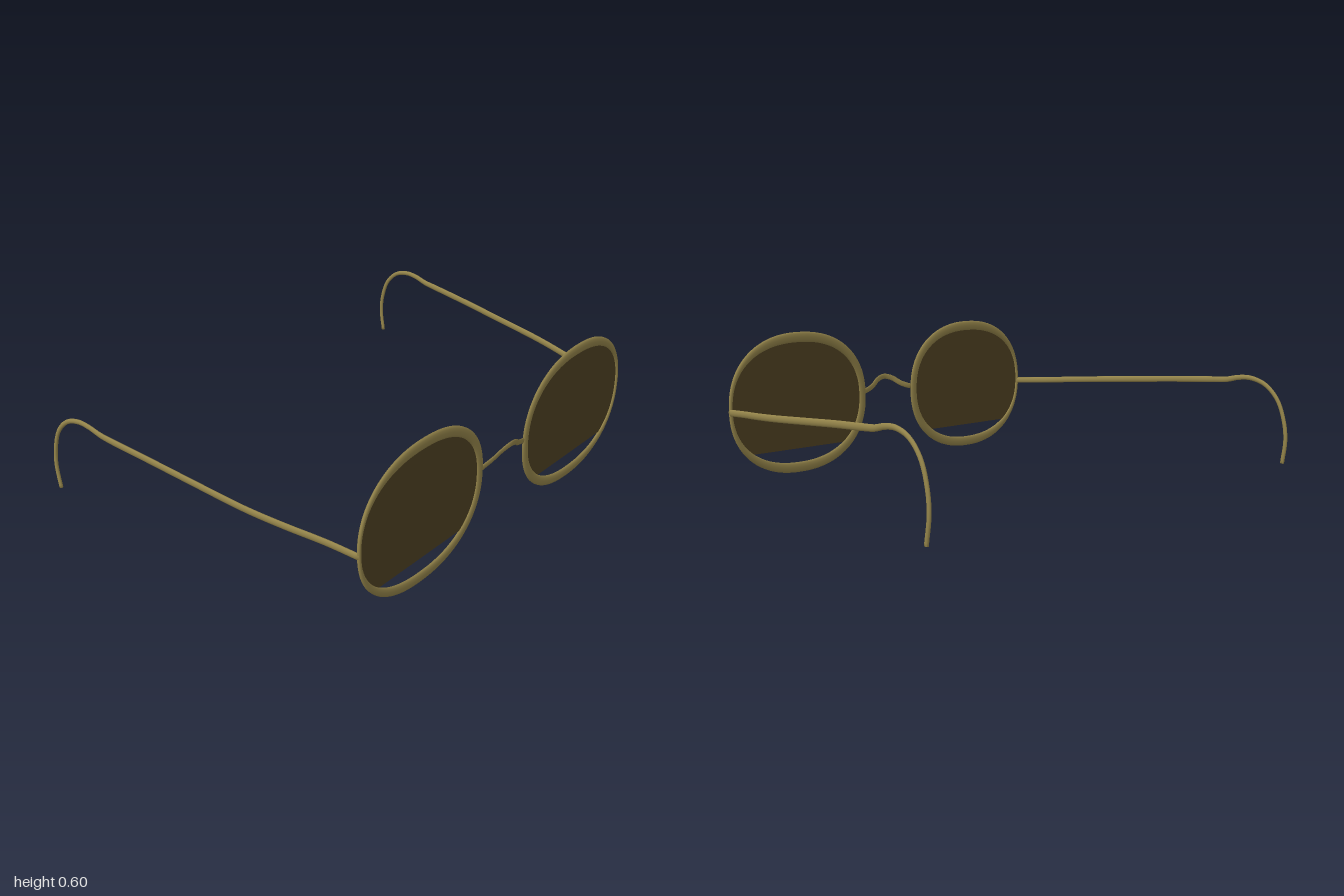
import * as THREE from 'three';

const frameMat = new THREE.MeshStandardMaterial({ color: 0x94844a });
frameMat.name = 'aged brass';
const lensMat = new THREE.MeshStandardMaterial({ color: 0x4f4122, side: THREE.DoubleSide });
lensMat.name = 'dark brown lens';

const V = (x, y, z) => new THREE.Vector3(x, y, z);

// Sweep an elliptical section along a curve; depth lies along the given axis, width across it
function sweep(points, closed, axis, depth, width, steps, sides = 10) {
  const curve = new THREE.CatmullRomCurve3(points, closed);
  const rings = closed ? steps : steps + 1;
  const pos = [], idx = [];
  for (let i = 0; i < rings; i++) {
    const t = i / steps;
    const p = curve.getPoint(t), T = curve.getTangent(t);
    const S = axis.clone().addScaledVector(T, -axis.dot(T)).normalize();
    const U = T.clone().cross(S);
    for (let j = 0; j < sides; j++) {
      const a = (j / sides) * Math.PI * 2;
      const q = p.clone().addScaledVector(S, depth * Math.cos(a)).addScaledVector(U, width(t) * Math.sin(a));
      pos.push(q.x, q.y, q.z);
    }
  }
  for (let i = 0; i < steps; i++) {
    const r0 = i * sides, r1 = ((i + 1) % rings) * sides;
    for (let j = 0; j < sides; j++) {
      const k = (j + 1) % sides;
      idx.push(r0 + j, r0 + k, r1 + j, r0 + k, r1 + k, r1 + j);
    }
  }
  if (!closed) {
    const end = steps * sides;
    for (let j = 1; j < sides - 1; j++) idx.push(0, j + 1, j, end, end + j, end + j + 1);
  }
  const geo = new THREE.BufferGeometry();
  geo.setAttribute('position', new THREE.Float32BufferAttribute(pos, 3));
  geo.setIndex(idx);
  geo.computeVertexNormals();
  return geo;
}

// Slightly squared oval, as points around (cx, cy)
function oval(cx, cy, rx, ry, n) {
  const e = 2 / 2.25;
  return Array.from({ length: n }, (_, i) => {
    const a = (i / n) * Math.PI * 2, c = Math.cos(a), s = Math.sin(a);
    return V(cx + rx * Math.sign(c) * Math.abs(c) ** e, cy + ry * Math.sign(s) * Math.abs(s) ** e, 0.709);
  });
}

export function createModel() {
  const model = new THREE.Group();
  model.name = 'spectacles';
  const add = (parent, name, geo, mat) => {
    const mesh = new THREE.Mesh(geo, mat);
    mesh.name = name;
    parent.add(mesh);
  };

  for (const side of [1, -1]) {
    const half = new THREE.Group();
    half.name = side > 0 ? 'leftHalf' : 'rightHalf';
    model.add(half);
    const mirror = (pts) => pts.map((p) => V(p.x * side, p.y, p.z));

    // Rim: thin beside the temple, wider at top, bottom and bridge
    const rimWidth = (t) => {
      const c = Math.cos(t * Math.PI * 2);
      return 0.0225 * (1 - c * c) + c * c * (c > 0 ? 0.008 : 0.0175);
    };
    add(half, 'rim', sweep(mirror(oval(0.48, 0.3, 0.333, 0.2775, 64)), true, V(0, 0, 1), 0.007, rimWidth, 128), frameMat);

    // Lens: flat, cut off straight above the bottom of the rim
    const outline = mirror(oval(0.48, 0.3, 0.331, 0.268, 96).filter((p) => p.y > 0.096));
    const lens = new THREE.ShapeGeometry(new THREE.Shape(outline.map((p) => new THREE.Vector2(p.x, p.y))));
    lens.translate(0, 0, 0.709);
    add(half, 'lens', lens, lensMat);

    // Temple arm with its ear hook
    const arm = mirror([
      V(0.814, 0.288, 0.712), V(0.835, 0.298, 0.58), V(0.872, 0.311, 0.42), V(0.902, 0.324, 0.26),
      V(0.93, 0.345, 0), V(0.95, 0.361, -0.2), V(0.967, 0.373, -0.38), V(0.971, 0.378, -0.44),
      V(0.975, 0.391, -0.5), V(0.978, 0.393, -0.56), V(0.982, 0.37, -0.63), V(0.986, 0.31, -0.69),
      V(0.989, 0.22, -0.724), V(0.991, 0.14, -0.733), V(0.992, 0.04, -0.72),
    ]);
    const armWidth = (t) => 0.014 - 0.005 * THREE.MathUtils.smoothstep(t, 0.35, 0.8);
    add(half, 'temple', sweep(arm, false, V(1, 0, 0), 0.007, armWidth, 112), frameMat);
  }

  // Bridge: a thin ribbon arching up and forward
  const bridge = [
    [-0.15, 0.314, 0.709], [-0.12, 0.32, 0.711], [-0.08, 0.335, 0.72], [-0.04, 0.36, 0.733], [0, 0.37, 0.739],
    [0.04, 0.36, 0.733], [0.08, 0.335, 0.72], [0.12, 0.32, 0.711], [0.15, 0.314, 0.709],
  ].map((p) => V(...p));
  add(model, 'bridge', sweep(bridge, false, V(0, 0, 1), 0.003, () => 0.012, 48), frameMat);

  return model;
}
